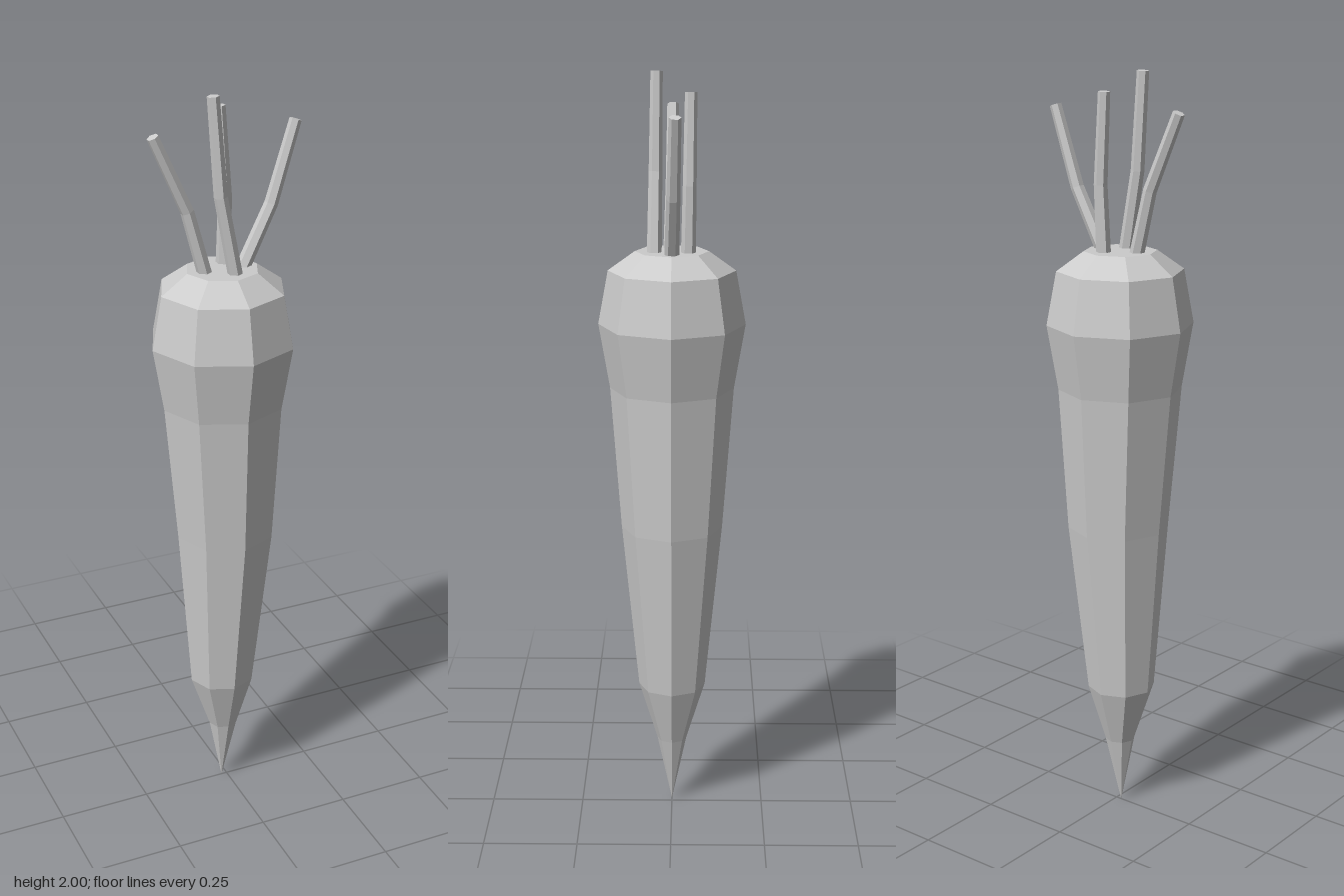
import * as THREE from 'three';

const material = new THREE.MeshStandardMaterial({ color: 0xcccccc, flatShading: true });

// Eight-sided root; each ring is [radius, height, sideways drift]
function createRoot() {
  const rings = [
    [0, 0, -0.016], [0.04, 0.19, -0.012], [0.09, 0.35, -0.016], [0.134, 0.81, -0.006],
    [0.162, 1.19, -0.012], [0.191, 1.36, -0.012], [0.165, 1.5, -0.012],
    [0.095, 1.55, -0.012], [0, 1.55, -0.012],
  ];
  const geometry = new THREE.LatheGeometry(rings.map(([r, y]) => new THREE.Vector2(r, y)), 8);
  const pos = geometry.attributes.position;
  for (let i = 0; i < pos.count; i++) pos.setX(i, pos.getX(i) + rings[i % rings.length][2]);
  const mesh = new THREE.Mesh(geometry, material);
  mesh.name = 'root';
  return mesh;
}

// Six-sided stalk bent through three points, tapering upwards, closed at both ends
function createStalk(name, points) {
  const path = points.map((p) => new THREE.Vector3(...p));
  const radii = [0.019, 0.0175, 0.0155];
  const up = new THREE.Vector3(0, 1, 0);
  const sides = 6, rows = path.length;
  const geometry = new THREE.CylinderGeometry(1, 1, rows - 1, sides, rows - 1);
  const pos = geometry.attributes.position;
  const v = new THREE.Vector3(), q = new THREE.Quaternion();
  for (let i = 0; i < pos.count; i++) {
    const row = Math.round(pos.getY(i) + (rows - 1) / 2);
    const before = path[Math.max(row - 1, 0)], after = path[Math.min(row + 1, rows - 1)];
    q.setFromUnitVectors(up, after.clone().sub(before).normalize());
    v.set(pos.getX(i) * radii[row], 0, pos.getZ(i) * radii[row]).applyQuaternion(q).add(path[row]);
    pos.setXYZ(i, v.x, v.y, v.z);
  }
  const mesh = new THREE.Mesh(geometry, material);
  mesh.name = name;
  return mesh;
}

export function createModel() {
  const model = new THREE.Group();
  model.name = 'carrot';
  model.add(createRoot());

  // Bare leaf stalks
  const stalks = {
    rightStalk: [[-0.06, 1.54, 0.004], [-0.105, 1.71, 0], [-0.192, 1.905, -0.001]],
    leftStalk: [[0.042, 1.54, 0], [0.124, 1.7, -0.005], [0.19, 1.905, -0.01]],
    frontStalk: [[0.005, 1.54, 0.045], [-0.034, 1.75, 0.042], [-0.052, 1.998, 0.039]],
    backStalk: [[0.009, 1.54, -0.042], [0.016, 1.72, -0.045], [0.002, 1.95, -0.048]],
  };
  for (const [name, points] of Object.entries(stalks)) model.add(createStalk(name, points));
  return model;
}
